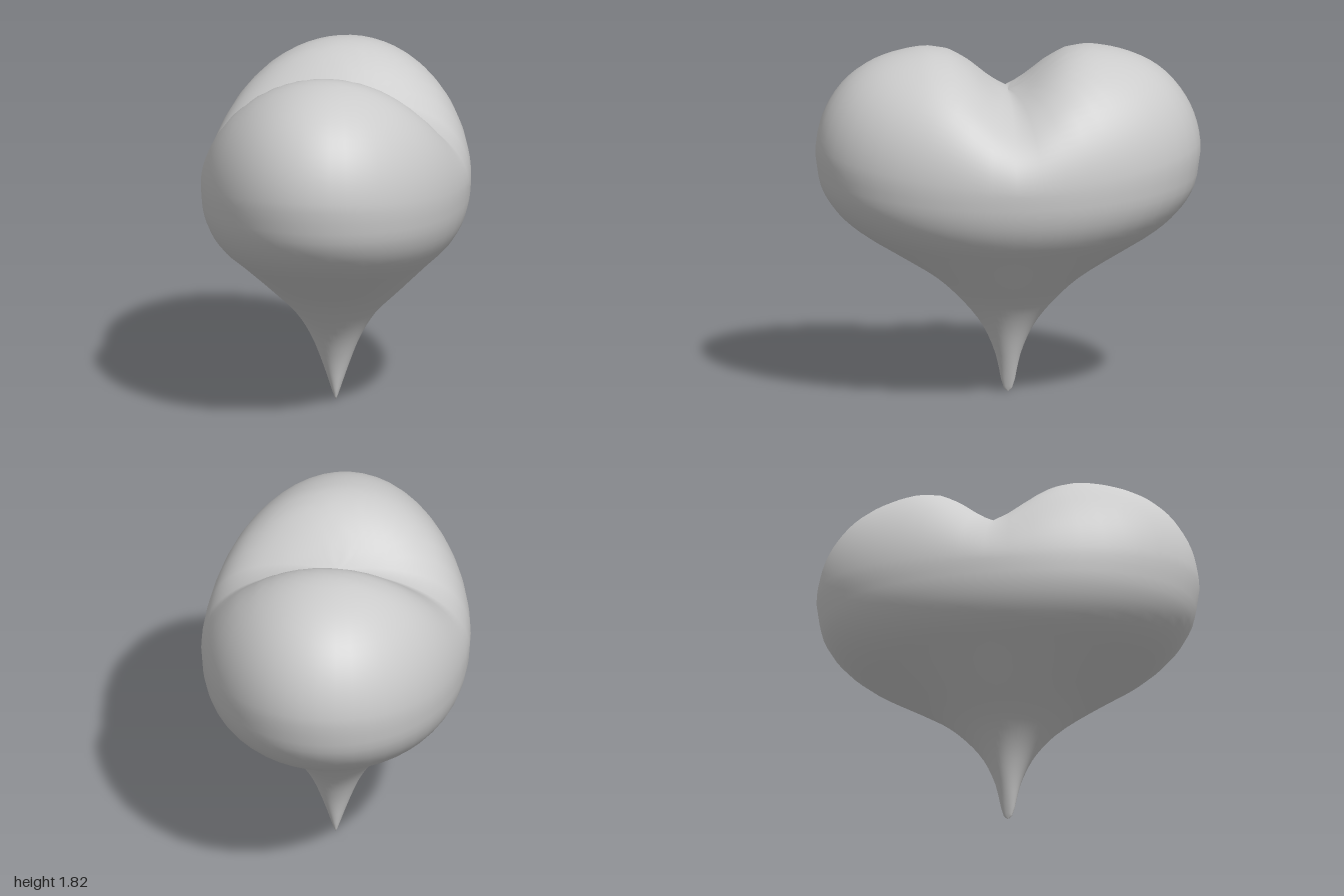
import * as THREE from 'three';

const SEG = 48; // points per ring
const LOWER = 30; // rings from tip to equator
const UPPER = 24; // rings from equator to the cleft

const spline = (pts) =>
  new THREE.CatmullRomCurve3(pts.map(([r, y]) => new THREE.Vector3(r, y, 0)), false, 'centripetal');

// Underside profiles (radius, height) across the width and along the depth
const widthProfile = spline([
  [0, 0], [0.012, 0.03], [0.07, 0.2], [0.13, 0.35], [0.21, 0.48], [0.34, 0.61],
  [0.51, 0.78], [0.6, 0.87], [0.655, 0.96], [0.685, 1.06], [0.695, 1.17],
]);
const depthProfile = spline([
  [0, 0], [0.022, 0.02], [0.065, 0.2], [0.13, 0.35], [0.23, 0.48], [0.38, 0.62],
  [0.58, 0.745], [0.78, 0.87], [0.9, 0.98], [0.97, 1.1], [1, 1.27],
]);

// Lobe fullness by distance from the cleft
const fullness = [
  [0, 0.33], [0.07, 0.37], [0.13, 0.42], [0.2, 0.485], [0.3, 0.56],
  [0.42, 0.612], [0.6, 0.655], [0.84, 0.72], [1, 0.75],
];

function crestHeight(z) {
  const d = Math.min(Math.abs(z), 1);
  let i = 0;
  while (i < fullness.length - 2 && d > fullness[i + 1][0]) i++;
  const [d0, f0] = fullness[i];
  const [d1, f1] = fullness[i + 1];
  return 1.27 + THREE.MathUtils.mapLinear(d, d0, d1, f0, f1) * Math.sqrt(1 - d * d);
}

// Underside: elliptical rings whose height varies between the two profiles
function lowerPoint(t, s, c) {
  const w = widthProfile.getPoint(t);
  const d = depthProfile.getPoint(t);
  return [w.x * s, THREE.MathUtils.lerp(w.y, d.y, c * c), d.x * c];
}

// Top: every slice across the width is a half ellipse up to the crest line
function upperPoint(t, s, c) {
  const r = Math.cos((t * Math.PI) / 2);
  const z = r * c;
  const base = 1.17 + 0.1 * z * z;
  const rise = t === 0 ? 0 : Math.sqrt(Math.max(0, 1 - r * r) / (1 - z * z));
  return [0.695 * r * s, base + (crestHeight(z) - base) * rise, z];
}

function heartGeometry() {
  const positions = [];
  const index = [];
  const rings = LOWER + UPPER;
  for (let k = 0; k <= rings; k++) {
    for (let j = 0; j < SEG; j++) {
      const a = (j / SEG) * Math.PI * 2;
      const s = Math.sin(a);
      const c = Math.cos(a);
      positions.push(...(k < LOWER ? lowerPoint(k / LOWER, s, c) : upperPoint((k - LOWER) / UPPER, s, c)));
      if (k === rings) continue;
      const n = (j + 1) % SEG;
      const p = k * SEG;
      const q = p + SEG;
      if (k > 0) index.push(p + j, p + n, q + j);
      if (k < rings - 1) index.push(p + n, q + n, q + j);
      else index.push(p + n, q + n, q + j);
    }
  }
  const geometry = new THREE.BufferGeometry();
  geometry.setAttribute('position', new THREE.Float32BufferAttribute(positions, 3));
  geometry.setIndex(index);
  geometry.computeVertexNormals();
  return geometry;
}

export function createModel() {
  const group = new THREE.Group();
  group.name = 'heart';
  const body = new THREE.Mesh(heartGeometry(), new THREE.MeshStandardMaterial({ color: 0xcccccc }));
  body.name = 'heartBody';
  group.add(body);
  return group;
}
